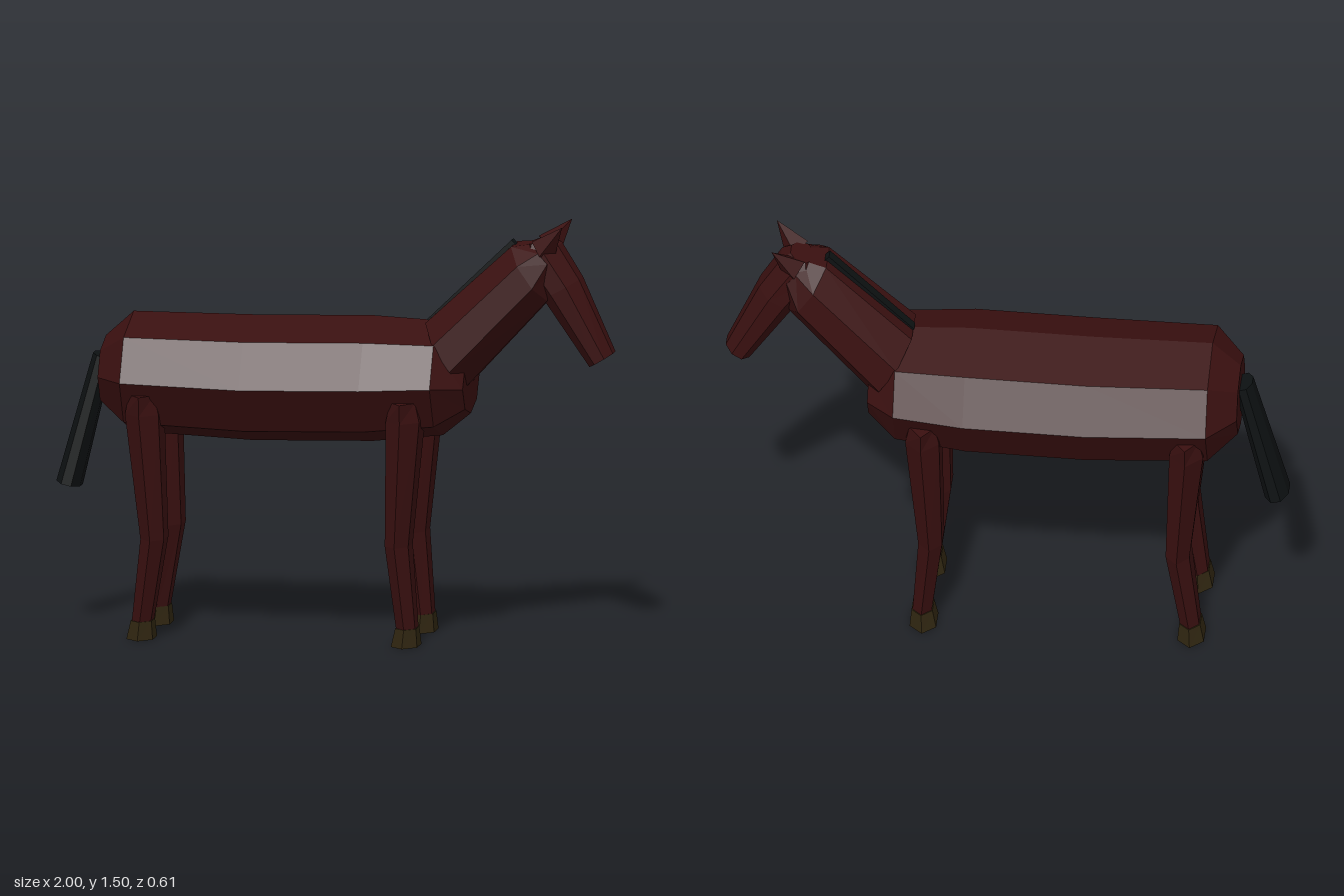
import * as THREE from 'three';

const mat = (name, color, extra = {}) => {
  const m = new THREE.MeshStandardMaterial({ color, flatShading: true, ...extra });
  m.name = name;
  return m;
};

// Faceted tube through sections [cx, cy, cz, ux, uy, rz]:
// u is the half-axis in the side plane, rz the half-width across.
function loft(sections, sides, flat = false) {
  const offset = flat ? Math.PI / sides : 0;
  const grow = flat ? 1 / Math.cos(Math.PI / sides) : 1;
  const pos = [], index = [];
  for (const [cx, cy, cz, ux, uy, rz] of sections) {
    for (let j = 0; j < sides; j++) {
      const a = offset + (j / sides) * Math.PI * 2;
      const c = Math.cos(a) * grow, s = Math.sin(a) * grow;
      pos.push(cx + c * ux, cy + c * uy, cz + s * rz);
    }
  }
  const last = sections.length - 1;
  for (let i = 0; i < last; i++) {
    for (let j = 0; j < sides; j++) {
      const k = (j + 1) % sides;
      const a = i * sides + j, b = i * sides + k;
      index.push(a, b, b + sides, a, b + sides, a + sides);
    }
  }
  // End caps
  for (let j = 1; j < sides - 1; j++) {
    const e = last * sides;
    index.push(0, j + 1, j, e, e + j, e + j + 1);
  }
  const g = new THREE.BufferGeometry();
  g.setAttribute('position', new THREE.Float32BufferAttribute(pos, 3));
  g.setIndex(index);
  const out = g.toNonIndexed();
  out.computeVertexNormals();
  return out;
}

export function createModel() {
  const coat = mat('chestnut coat', 0x3a1010);
  const hair = mat('black hair', 0x0d1112);
  const horn = mat('brown hoof', 0x2f2510);
  const model = new THREE.Group();
  const add = (name, geometry, material, parent = model) => {
    const mesh = new THREE.Mesh(geometry, material);
    mesh.name = name;
    parent.add(mesh);
    return mesh;
  };

  // Barrel, rump and chest
  add('body', loft([
    [-0.83, 0.925, 0, 0, 0.125, 0.165],
    [-0.73, 0.925, 0, 0, 0.215, 0.285],
    [-0.3, 0.915, 0, 0, 0.225, 0.3],
    [0.13, 0.925, 0, 0, 0.225, 0.3],
    [0.38, 0.933, 0, 0, 0.205, 0.27],
    [0.48, 0.92, 0, 0, 0.11, 0.165],
  ], 8), coat);

  // Neck with a tapered end behind the ears
  add('neck', loft([
    [0.405, 1.03, 0, -0.075, 0.11, 0.188],
    [0.7, 1.325, 0, -0.065, 0.095, 0.155],
    [0.755, 1.385, 0, -0.04, 0.045, 0.1],
  ], 8, true), coat);

  // Head, from the poll down to the muzzle
  add('head', loft([
    [0.725, 1.437, 0, 0.04, 0.012, 0.06],
    [0.73, 1.39, 0, 0.07, 0.035, 0.1],
    [0.81, 1.27, 0, 0.065, 0.035, 0.093],
    [0.952, 1.017, 0, 0.042, 0.025, 0.065],
  ], 8, true), coat);

  // Ears
  for (const side of [1, -1]) {
    const base = new THREE.Vector3(0.75, 1.41, 0.06 * side);
    const tip = new THREE.Vector3(0.825, 1.5, 0.1 * side);
    const dir = tip.clone().sub(base);
    const ear = add(side > 0 ? 'rightEar' : 'leftEar',
      new THREE.ConeGeometry(0.05, dir.length(), 4), coat);
    ear.position.copy(base).add(tip).multiplyScalar(0.5);
    ear.quaternion.setFromUnitVectors(new THREE.Vector3(0, 1, 0), dir.normalize());
  }

  // Mane strip along the crest of the neck
  const mane = add('mane', new THREE.BoxGeometry(0.42, 0.05, 0.04), hair);
  mane.position.set(0.495, 1.273, 0);
  mane.rotation.z = Math.atan2(0.3, 0.31);

  // Tail
  add('tail', loft([
    [-0.84, 0.98, 0, 0.032, -0.01, 0.052],
    [-0.96, 0.52, 0, 0.042, -0.01, 0.075],
  ], 8, true), hair);

  // Legs: the same sections, with the joint bent forward or back
  const legs = [['foreleg', 0.278, 0.252, 0.282], ['hindLeg', -0.658, -0.625, -0.667]];
  for (const [name, top, knee, foot] of legs) {
    for (const side of [1, -1]) {
      const leg = new THREE.Group();
      leg.name = (side > 0 ? 'near ' : 'far ') + name;
      model.add(leg);
      add('leg', loft([
        [top, 0.88, 0.18 * side, 0.045, 0, 0.11],
        [top, 0.81, 0.18 * side, 0.06, 0, 0.105],
        [knee, 0.36, 0.17 * side, 0.042, 0, 0.08],
        [foot, 0.06, 0.165 * side, 0.034, 0, 0.06],
      ], 6, true), coat, leg);
      add('hoof', loft([
        [foot, 0.065, 0.167 * side, 0.037, 0, 0.062],
        [foot - 0.004, 0, 0.167 * side, 0.047, 0, 0.077],
      ], 6, true), horn, leg);
    }
  }
  return model;
}
